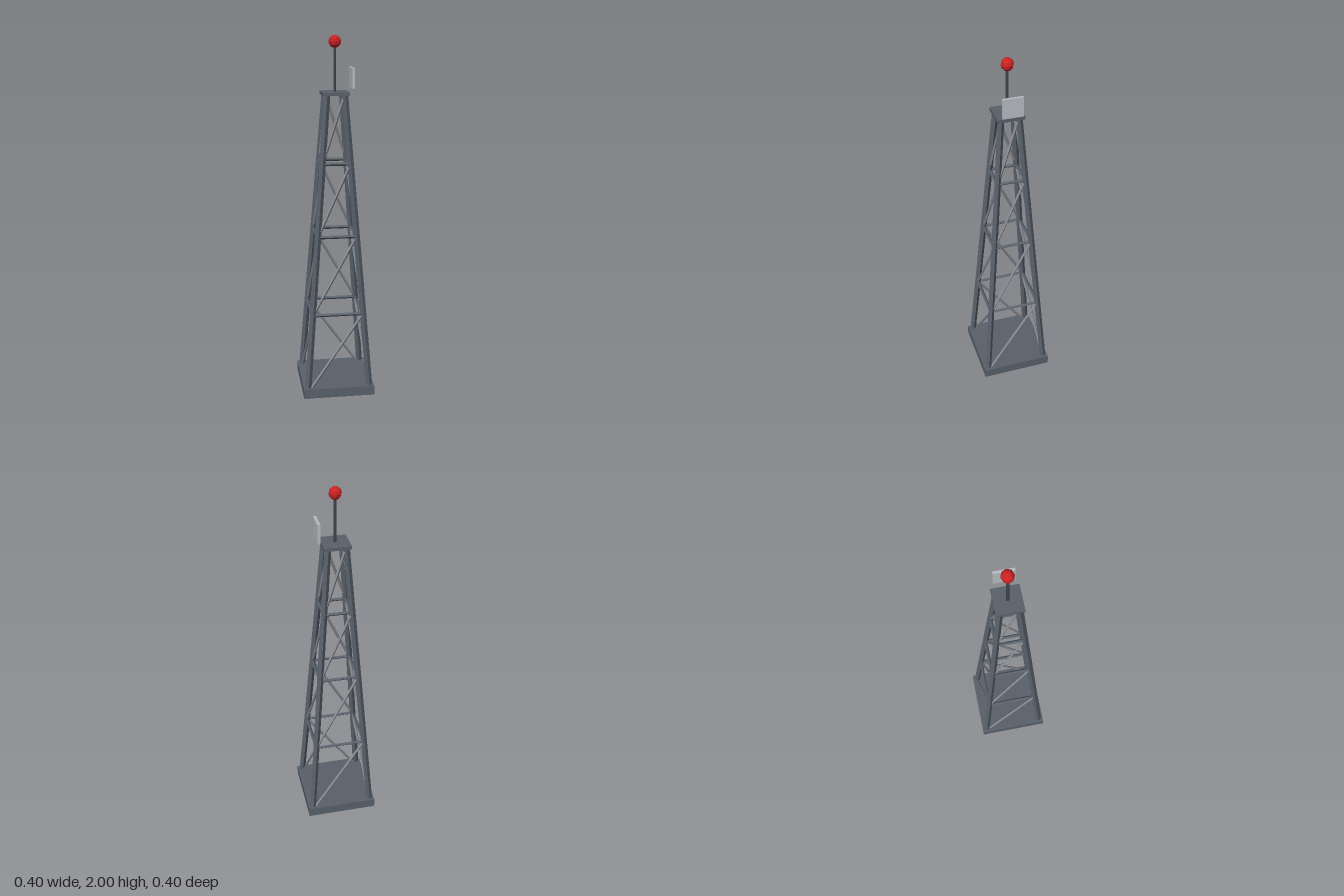
import * as THREE from 'three';

const flat = (name, color) => {
  const m = new THREE.MeshStandardMaterial({ color, flatShading: true });
  m.name = name;
  return m;
};

export function createModel() {
  const steel = flat('dark steel', 0x59616b);
  const braceGrey = flat('brace grey', 0x85888e);
  const mastDark = flat('mast dark', 0x3f454c);
  const panelGrey = flat('panel light grey', 0xb9bec3);
  const red = flat('beacon red', 0xcc2222);

  const tower = new THREE.Group();
  tower.name = 'latticeTower';

  const add = (name, geometry, material, x = 0, y = 0, z = 0) => {
    const mesh = new THREE.Mesh(geometry, material);
    mesh.name = name;
    mesh.position.set(x, y, z);
    tower.add(mesh);
    return mesh;
  };

  // Four-sided bar between two points
  const up = new THREE.Vector3(0, 1, 0);
  const bar = (name, a, b, radius, material) => {
    const dir = b.clone().sub(a);
    const mid = a.clone().add(b).multiplyScalar(0.5);
    const mesh = add(name, new THREE.CylinderGeometry(radius, radius, dir.length(), 4), material, mid.x, mid.y, mid.z);
    mesh.quaternion.setFromUnitVectors(up, dir.normalize());
  };

  // Leg centre line at a given corner and height
  const bottomY = 0.002, topY = 1.69;
  const signs = [[-1, 1], [1, 1], [1, -1], [-1, -1]];
  const corner = (i, y) => {
    const [sx, sz] = signs[i % 4];
    const r = THREE.MathUtils.mapLinear(y, bottomY, topY, 0.178, 0.048);
    return new THREE.Vector3(sx * r, y, sz * r);
  };

  add('base', new THREE.BoxGeometry(0.4, 0.054, 0.4), steel, 0, 0.036, 0);

  // Legs, horizontal struts and one rising diagonal per face and bay
  const levels = [0.03, 0.48, 0.92, 1.32, 1.69];
  for (let i = 0; i < 4; i++) {
    bar('leg', corner(i, bottomY), corner(i, topY), 0.018, steel);
    for (let k = 0; k < 4; k++) {
      if (k > 0) bar('strut', corner(i, levels[k]), corner(i + 1, levels[k]), 0.0095, steel);
      bar('diagonalBrace', corner(i, levels[k]), corner(i + 1, levels[k + 1]), 0.008, braceGrey);
    }
  }

  // Top platform, mast, beacon and antenna panel
  add('platform', new THREE.BoxGeometry(0.145, 0.018, 0.145), steel, 0, 1.694, 0);
  add('mast', new THREE.CylinderGeometry(0.008, 0.008, 0.25, 6), mastDark, 0, 1.825, 0);
  add('beacon', new THREE.SphereGeometry(0.034, 8, 6), red, 0, 1.966, 0);
  add('antennaPanel', new THREE.BoxGeometry(0.014, 0.108, 0.11), panelGrey, 0.094, 1.775, 0);

  return tower;
}
